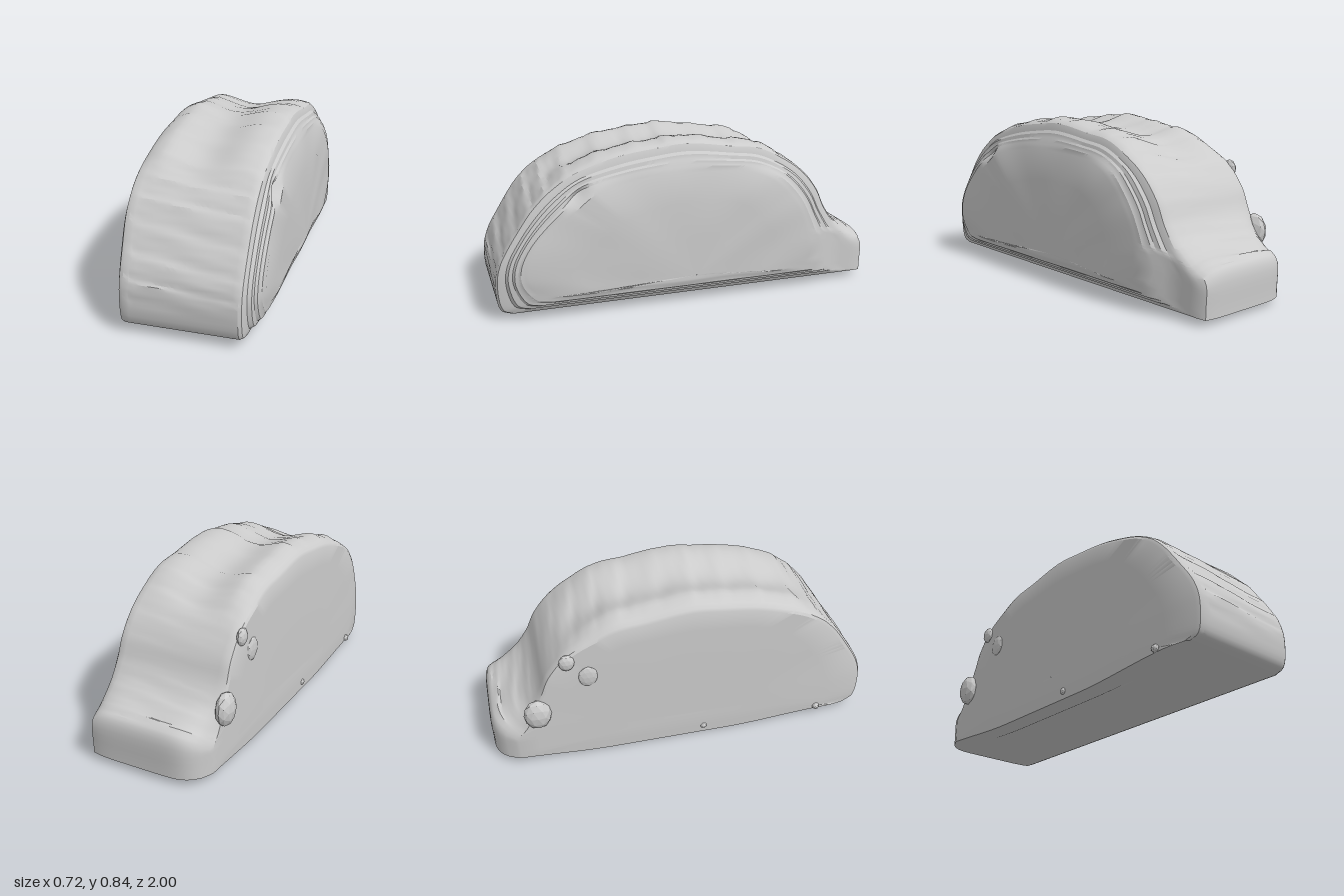
import * as THREE from 'three';
import { toCreasedNormals } from 'three/addons/utils/BufferGeometryUtils.js';

const { smoothstep, lerp } = THREE.MathUtils;
const curve = (pts) => new THREE.CatmullRomCurve3(pts.map(([z, y]) => new THREE.Vector3(0, y, z)), false, 'centripetal');

// Side outlines as [z, y], from the front foot over the top to the back foot
const bodyOutline = curve([[.93, .03], [.978, .055], [.995, .2], [.97, .3], [.9, .42], [.81, .55], [.72, .64], [.6, .73], [.4, .8], [.2, .83],
  [.03, .845], [-.2, .815], [-.37, .79], [-.5, .72], [-.62, .62], [-.7, .52], [-.75, .42], [-.82, .34], [-.92, .28], [-.99, .24], [-1, .03]]);
const bulgeOutline = curve([[.66, .12], [.74, .13], [.83, .2], [.84, .28], [.8, .37], [.7, .47], [.6, .55], [.5, .62], [.35, .66], [.2, .69],
  [.03, .7], [-.2, .69], [-.3, .67], [-.4, .62], [-.49, .54], [-.55, .46], [-.59, .38], [-.61, .3], [-.61, .24], [-.58, .17], [-.5, .12]]);

const ARC = 120, BASE = 36, N = ARC + BASE;

// Closed ring of points: the outline, then the straight base back to the front
function ring(outline) {
  const pts = [];
  for (let j = 0; j <= ARC; j++) pts.push(outline.getPoint(j / ARC));
  for (let j = 1; j < BASE; j++) pts.push(pts[ARC].clone().lerp(pts[0], j / BASE));
  return pts;
}

function slabGeometry() {
  const body = ring(bodyOutline), bulge = ring(bulgeOutline);
  // Each row: x, blend from body to bulge, scale about the middle
  const rows = [[-.32, 0, .001], [-.322, 0, .4], [-.32, 0, .8], [-.318, 0, .97], [-.31, 0, .99], [-.29, 0, 1]];
  for (let i = 1; i < 22; i++) rows.push([lerp(-.29, .27, i / 22), 0, 1]);
  rows.push([.27, 0, 1], [.285, .05, 1], [.292, .15, 1], [.298, .28, 1], [.316, .35, 1], [.322, .48, 1],
    [.335, .54, 1], [.339, .66, 1], [.348, .73, 1], [.35, .88, 1], [.355, 1, 1], [.356, 1, .7], [.356, 1, .35], [.356, 1, .001]);

  const pos = [], index = [];
  for (const [x0, t, s] of rows) {
    for (let j = 0; j < N; j++) {
      let x = x0;
      let y = .15 + (lerp(body[j].y, bulge[j].y, t) - .15) * s;
      let z = lerp(body[j].z, bulge[j].z, t) * s;
      const inner = 1 - smoothstep(Math.abs(x), .22, .3);
      const edge = Math.min(1, Math.abs(x) / .31);

      // bulge thins towards the roof and stops short of the tail
      if (x > .29) {
        x -= (x - .29) * .35 * smoothstep(y, .55, .72);
        x = Math.min(x, lerp(.29, .36, smoothstep(z, -.86, -.6)));
      }
      // saddle across the crest, lower at the left-hand edge
      y -= smoothstep(y, .6, .78) * (.004 + .022 * (1 + Math.cos((x + .03) * 14)) + .03 * smoothstep(-x, .2, .32));
      // ridges running across the roof and front
      if (j > 10 && j < ARC - 8) {
        const wave = Math.sin(j * 1.1 + 1.5 * Math.sin(x * 9)) + .6 * Math.sin(j * 2.3 + x * 12);
        y += .004 * wave * inner;
        z += .002 * wave * inner;
      }
      // rounded corners on the tail, softer on the left-hand edge
      const tail = smoothstep(-z, .7, 1);
      z += tail * (x < 0 ? .1 : .03) * edge ** 6;
      y -= tail * .07 * smoothstep(y, .12, .26) * edge ** 5;
      // narrower front end
      if (x < -.25) x += .02 * smoothstep(z, .8, .98);
      // raised strip under one edge of the base
      if (y < .05) y -= .03 * (1 - smoothstep(x, -.23, -.15)) * (1 - smoothstep(Math.abs(z + .08), .3, .9));
      // small oblong pit in the stepped side, and a faint unevenness
      if (x > .28) {
        const u = (z - .59) * .57 + (y - .61) * .82, v = (y - .61) * .57 - (z - .59) * .82;
        x -= .035 * Math.exp(-((u / .025) ** 2) - ((v / .06) ** 2));
        x += .004 * Math.sin(z * 13 + y * 5) * Math.sin(y * 17) * smoothstep(t, .5, 1);
      }
      pos.push(x, y, z);
    }
  }
  for (let i = 0; i < rows.length - 1; i++) {
    for (let j = 0; j < N; j++) {
      const k = (j + 1) % N, a = i * N + j, b = i * N + k;
      index.push(a, a + N, b, b, a + N, b + N);
    }
  }
  const g = new THREE.BufferGeometry();
  g.setAttribute('position', new THREE.Float32BufferAttribute(pos, 3));
  g.setIndex(index);
  return toCreasedNormals(g, .5);
}

export function createModel() {
  const group = new THREE.Group();
  group.name = 'roughHalfRoundSlab';
  const material = new THREE.MeshStandardMaterial({ color: 0xcccccc });
  const rough = new THREE.MeshStandardMaterial({ color: 0xcccccc, flatShading: true });

  const slab = new THREE.Mesh(slabGeometry(), material);
  slab.name = 'slab';
  group.add(slab);

  // Small lumps on the flat side: position, then half sizes
  const lumps = [
    [-.322, .31, -.765, .042, .085, .07],
    [-.318, .6, -.6, .022, .045, .04],
    [-.318, .5, -.5, .015, .06, .05],
    [-.318, .05, .74, .022, .02, .02],
    [-.31, .045, .1, .022, .02, .02],
  ];
  for (const [x, y, z, a, b, c] of lumps) {
    const lump = new THREE.Mesh(new THREE.IcosahedronGeometry(1, 1), rough);
    lump.name = 'sideLump';
    lump.position.set(x, y, z);
    lump.scale.set(a, b, c);
    group.add(lump);
  }
  return group;
}
